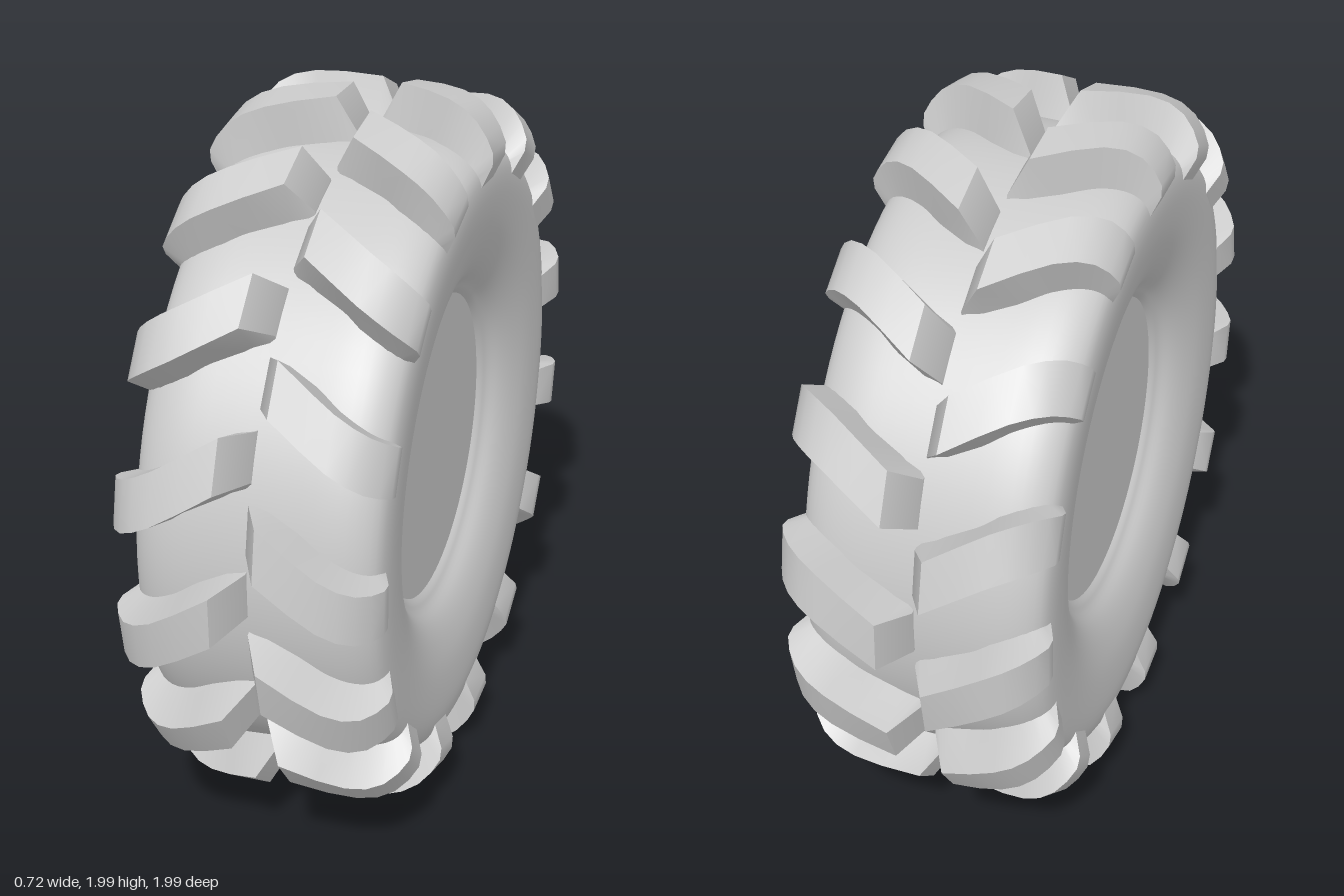
import * as THREE from 'three';
import { toCreasedNormals } from 'three/addons/utils/BufferGeometryUtils.js';

const LUGS = 15;
const rad = THREE.MathUtils.degToRad;

// Lug stations from the centre line out over the shoulder:
// top x, top radius, base x, base radius, sweep in degrees
const STATIONS = [
  [0.0, 0.885, 0.0, 0.84, 1.5],
  [0.058, 0.997, 0.05, 0.84, 0],
  [0.15, 0.997, 0.15, 0.84, -3.6],
  [0.22, 0.992, 0.2, 0.84, -6.2],
  [0.27, 0.978, 0.24, 0.83, -7.7],
  [0.31, 0.952, 0.27, 0.82, -8.7],
  [0.34, 0.915, 0.29, 0.81, -9.2],
  [0.36, 0.875, 0.3, 0.8, -9.4],
  [0.36, 0.84, 0.3, 0.79, -9.4],
  [0.332, 0.775, 0.3, 0.775, -9.4],
];

// One lug lofted through four-cornered sections; side is +1 or -1
function lugGeometry(side) {
  const at = (x, r, deg) => [side * x, r * Math.sin(rad(deg)), r * Math.cos(rad(deg))];
  const rings = STATIONS.map(([tx, tr, bx, br, sweep]) => [
    at(tx, tr, sweep - 4.2), at(tx, tr, sweep + 4.2),
    at(bx, br, sweep + 5.2), at(bx, br, sweep - 5.2),
  ]);
  const pos = [];
  const tri = (a, b, c) => pos.push(...a, ...(side > 0 ? b : c), ...(side > 0 ? c : b));
  const quad = (a, b, c, d) => { tri(a, b, c); tri(a, c, d); };
  for (let i = 0; i < rings.length - 1; i++) {
    for (let j = 0; j < 4; j++) {
      const k = (j + 1) % 4;
      quad(rings[i][j], rings[i + 1][j], rings[i + 1][k], rings[i][k]);
    }
  }
  quad(...rings[0]);
  quad(...[...rings[rings.length - 1]].reverse());
  const g = new THREE.BufferGeometry();
  g.setAttribute('position', new THREE.Float32BufferAttribute(pos, 3));
  return toCreasedNormals(g, rad(28));
}

// Tyre body: half profile (radius, axial offset), mirrored and turned
function carcassGeometry() {
  const half = new THREE.SplineCurve([
    [0.875, 0], [0.875, 0.1], [0.872, 0.2], [0.855, 0.27], [0.82, 0.318], [0.77, 0.334],
    [0.7, 0.334], [0.62, 0.324], [0.55, 0.303], [0.5, 0.278], [0.465, 0.25], [0.445, 0.238], [0.43, 0.225],
  ].map(([r, x]) => new THREE.Vector2(r, x))).getPoints(36);
  const lower = half.slice(1).reverse().map((p) => new THREE.Vector2(p.x, -p.y));
  return new THREE.LatheGeometry([...lower, ...half], 90).rotateZ(-Math.PI / 2);
}

export function createModel() {
  const rubber = new THREE.MeshStandardMaterial({ color: 0xcccccc });
  rubber.name = 'light grey rubber';

  const model = new THREE.Group();
  model.name = 'tractorTyre';
  const wheel = new THREE.Group();
  wheel.name = 'wheel';
  wheel.position.y = 1;
  model.add(wheel);

  const add = (name, geometry, parent = wheel) => {
    const mesh = new THREE.Mesh(geometry, rubber);
    mesh.name = name;
    parent.add(mesh);
    return mesh;
  };

  add('carcass', carcassGeometry());

  for (const side of [1, -1]) {
    const label = side > 0 ? 'left' : 'right';

    // Flat disc closing the rim opening
    const disc = add(label + 'HubDisc', new THREE.CircleGeometry(0.434, 90));
    disc.rotation.y = side * Math.PI / 2;
    disc.position.x = side * 0.226;

    // Staggered ring of tread lugs
    const lugs = new THREE.Group();
    lugs.name = label + 'Lugs';
    wheel.add(lugs);
    const geometry = lugGeometry(side);
    const start = side > 0 ? 10.4 : -1.6;
    for (let i = 0; i < LUGS; i++) {
      add(label + 'Lug', geometry, lugs).rotation.x = -rad(start + (i * 360) / LUGS);
    }
  }
  return model;
}
